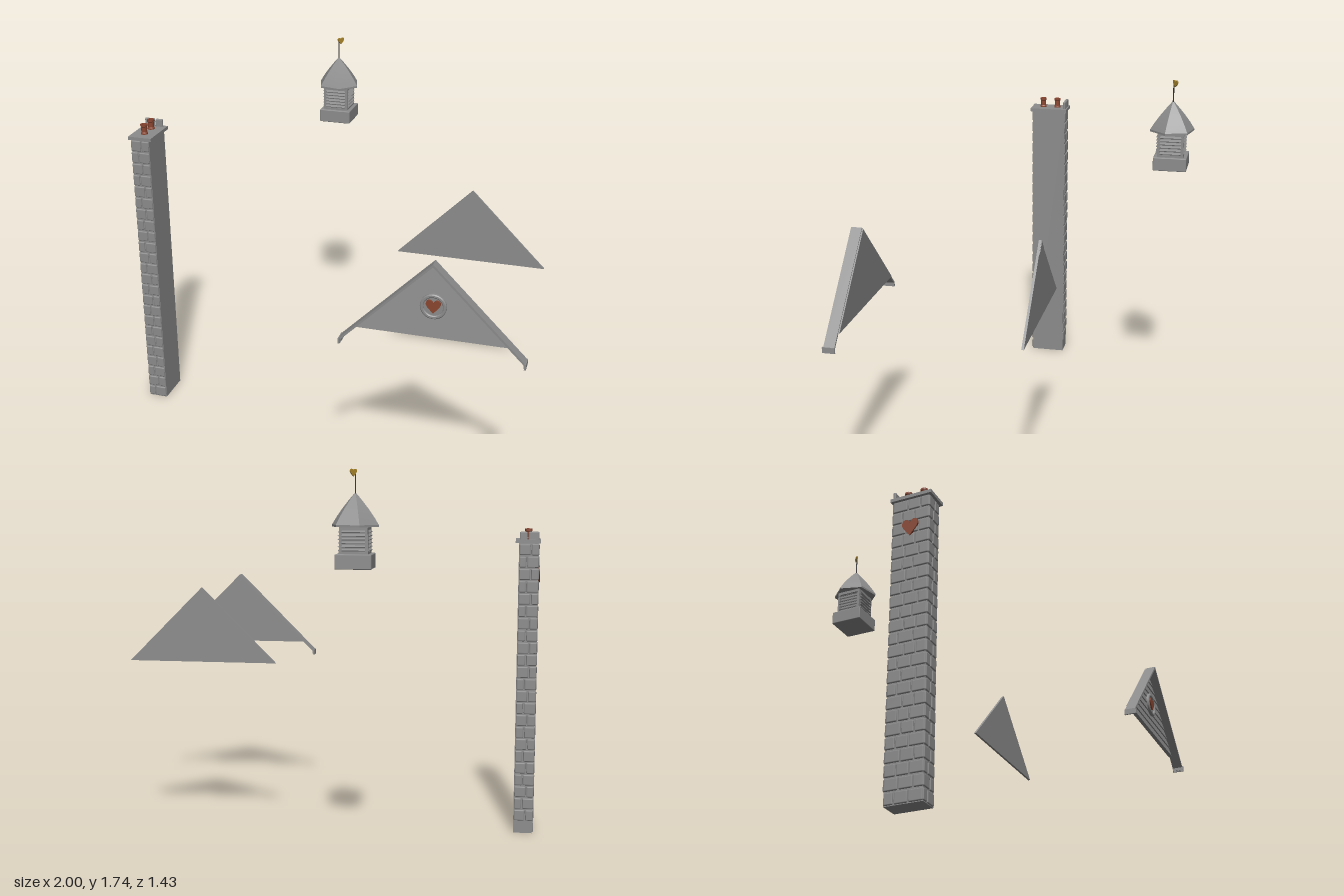
import * as THREE from 'three';
import { mergeGeometries, toCreasedNormals } from 'three/addons/utils/BufferGeometryUtils.js';
import { RoundedBoxGeometry } from 'three/addons/geometries/RoundedBoxGeometry.js';

export function createModel() {
  const model = new THREE.Group();
  model.name = 'houseRoofParts';
  const material = (name, color, side = THREE.FrontSide) => {
    const m = new THREE.MeshStandardMaterial({ color, side });
    m.name = name;
    return m;
  };
  const stone = material('greyStone', 0x8c8c8c, THREE.DoubleSide);
  const clay = material('redClay', 0x8a4630);
  const iron = material('darkIron', 0x2e2e2e);
  const gold = material('gold', 0xa8842a);

  const add = (parent, name, geometry, mat, x = 0, y = 0, z = 0) => {
    const mesh = new THREE.Mesh(geometry, mat);
    mesh.name = name;
    mesh.position.set(x, y, z);
    parent.add(mesh);
    return mesh;
  };
  const group = (name, x = 0, y = 0, z = 0) => {
    const g = new THREE.Group();
    g.name = name;
    g.position.set(x, y, z);
    model.add(g);
    return g;
  };
  const box = (w, h, d) => new THREE.BoxGeometry(w, h, d);
  let seed = 7;
  const random = () => (seed = (seed * 16807) % 2147483647) / 2147483647;

  const polygon = (points) => new THREE.Shape(points.map((p) => new THREE.Vector2(...p)));
  const extrude = (shape, depth) =>
    new THREE.ExtrudeGeometry(shape, { depth, bevelEnabled: false, curveSegments: 10 });
  // Heart centred on its own origin, facing +z
  const heart = (w, h, depth) => {
    const s = new THREE.Shape();
    s.moveTo(0, -h / 2);
    s.bezierCurveTo(w * 0.2, -h * 0.25, w * 0.5, 0, w * 0.5, h * 0.22);
    s.bezierCurveTo(w * 0.5, h * 0.6, w * 0.08, h * 0.6, 0, h * 0.25);
    s.bezierCurveTo(-w * 0.08, h * 0.6, -w * 0.5, h * 0.6, -w * 0.5, h * 0.22);
    s.bezierCurveTo(-w * 0.5, 0, -w * 0.2, -h * 0.25, 0, -h / 2);
    return extrude(s, depth).translate(0, 0, -depth / 2);
  };

  // Chimney: smooth core with stones on front, back and outer side
  const chimney = group('chimney', -0.945, 0, 0.12);
  add(chimney, 'chimneyCore', box(0.09, 1.4, 0.172), stone, 0.001, 0.7, 0);
  const rows = 24, rowHeight = 1.4 / rows;
  const stones = [];
  const layRow = (width, count, row, place) => {
    // joints shift from row to row
    const joints = [0];
    for (let i = 1; i < count; i++) {
      joints.push(width * (i / count + (row % 2 ? 0.09 : -0.09) * (2 / count) + (random() - 0.5) * 0.06));
    }
    joints.push(width);
    for (let i = 0; i < count; i++) {
      const w = joints[i + 1] - joints[i] - 0.005;
      const h = rowHeight - 0.005 - random() * 0.003;
      const g = new RoundedBoxGeometry(w, h, 0.014, 1, 0.005);
      g.translate((joints[i] + joints[i + 1] - width) / 2, (row + 0.5) * rowHeight, 0);
      stones.push(place(g));
    }
  };
  for (let r = 0; r < rows; r++) {
    layRow(0.096, 2, r, (g) => g.translate(-0.002, 0, 0.084));
    layRow(0.096, 2, r + 1, (g) => g.rotateY(Math.PI).translate(-0.002, 0, -0.084));
    layRow(0.176, 3, r, (g) => g.rotateY(-Math.PI / 2).translate(-0.043, 0, 0));
  }
  add(chimney, 'chimneyStones', mergeGeometries(stones), stone);
  add(chimney, 'chimneyCap', box(0.117, 0.016, 0.196), stone, 0.0035, 1.41, 0);
  add(chimney, 'chimneyHeart', heart(0.075, 0.08, 0.009), clay, -0.0505, 1.25, 0).rotation.y = -Math.PI / 2;
  const potProfile = [[0.017, 0], [0.017, 0.006], [0.014, 0.01], [0.014, 0.036], [0.017, 0.039],
    [0.017, 0.048], [0.011, 0.048], [0.011, 0.04], [0, 0.04]].map((p) => new THREE.Vector2(...p));
  for (const z of [-0.039, 0.037]) {
    add(chimney, 'chimneyPot', toCreasedNormals(new THREE.LatheGeometry(potProfile, 16), 0.6),
      clay, 0.002, 1.418, z);
  }

  // Cupola: plinth, louvred body, six-sided roof and weather vane
  const cupola = group('cupola', -0.21, 0, -0.612);
  add(cupola, 'cupolaBase', new RoundedBoxGeometry(0.158, 0.064, 0.158, 1, 0.004), stone, 0, 1.352, 0);
  add(cupola, 'cupolaBody', box(0.112, 0.13, 0.112), stone, 0, 1.445, 0);
  for (let side = 0; side < 4; side++) {
    const face = new THREE.Group();
    face.name = 'louvreFace';
    face.rotation.y = side * Math.PI / 2;
    cupola.add(face);
    for (const s of [-1, 1]) add(face, 'cornerPost', box(0.012, 0.12, 0.008), stone, s * 0.055, 1.44, 0.058);
    add(face, 'topRail', box(0.122, 0.014, 0.008), stone, 0, 1.493, 0.058);
    add(face, 'bottomRail', box(0.122, 0.01, 0.008), stone, 0, 1.388, 0.058);
    for (let i = 0; i < 6; i++) {
      add(face, 'slat', box(0.1, 0.004, 0.017), stone, 0, 1.402 + i * 0.0155, 0.06).rotation.x = 0.5;
    }
  }
  const roofProfile = [[0.06, 1.503], [0.106, 1.498], [0.106, 1.507], [0.085, 1.54], [0.06, 1.574],
    [0.03, 1.61], [0.005, 1.638], [0, 1.638]].map((p) => new THREE.Vector2(...p));
  add(cupola, 'cupolaRoof',
    toCreasedNormals(new THREE.LatheGeometry(roofProfile, 6, THREE.MathUtils.degToRad(17)), 0.5), stone);
  add(cupola, 'vaneRod', new THREE.CylinderGeometry(0.0028, 0.0028, 0.1, 8), iron, 0, 1.675, 0);
  add(cupola, 'vaneHeart', heart(0.034, 0.032, 0.006), gold, 0.008, 1.725, -0.008).rotation.y = Math.PI / 4;

  // Front gable: wall, overlapping boards, sloping trim and heart window
  const gable = group('frontGable', 0.592, 0, 0);
  const apex = 1.184, foot = 0.83;
  const wall = polygon([[-(apex - foot), foot], [apex - foot, foot], [0, apex]]);
  add(gable, 'gableWall', extrude(wall, 0.012), stone, 0, 0, 0.657);
  const boards = 10, boardHeight = (apex - foot) / boards;
  for (let i = 0; i < boards; i++) {
    const y0 = foot + i * boardHeight, y1 = y0 + boardHeight - 0.002;
    const g = extrude(polygon([[y0 - apex, y0], [apex - y0, y0], [apex - y1, y1], [y1 - apex, y1]]), 0.003);
    // lean each board out at its lower edge
    const p = g.attributes.position;
    for (let k = 0; k < p.count; k++) {
      if (p.getZ(k) > 0) p.setZ(k, 0.003 + (y1 - p.getY(k)) * 0.15);
    }
    g.computeVertexNormals();
    add(gable, 'gableBoard', g, stone, 0, 0, 0.668);
  }
  const half = [[0.406, 0.784], [0.406, 0.765], [0.397, 0.765], [0.397, 0.78]];
  const trim = polygon([[0, 1.19], ...half, [0, 1.177],
    ...half.map(([x, y]) => [-x, y]).reverse()]);
  add(gable, 'slopingTrim', extrude(trim, 0.05), stone, 0, 0, 0.663);
  for (const s of [-1, 1]) add(gable, 'trimEnd', box(0.008, 0.026, 0.056), stone, s * 0.404, 0.773, 0.69);

  // Round window with raised rings
  const ringProfile = [[0.042, 0], [0.042, 0.014], [0.046, 0.018], [0.054, 0.018], [0.058, 0.014], [0.058, 0]]
    .map((p) => new THREE.Vector2(...p)).reverse();
  const ring = toCreasedNormals(new THREE.LatheGeometry(ringProfile, 32), 0.6).rotateX(Math.PI / 2);
  add(gable, 'windowRing', ring, stone, 0, 0.98, 0.668);
  add(gable, 'windowPane', new THREE.CylinderGeometry(0.043, 0.043, 0.008, 32).rotateX(Math.PI / 2),
    stone, 0, 0.98, 0.674);
  add(gable, 'windowHeart', heart(0.064, 0.06, 0.008), clay, 0, 0.98, 0.682);

  // Back gable: plain wall with short boards at the peak
  const backGable = group('backGable', 0.592, 0, 0);
  const backWall = polygon([[-0.358, 0.83], [0.358, 0.83], [0, 1.188]]);
  add(backGable, 'backWall', extrude(backWall, 0.011), stone, 0, 0, -0.145);
  const peak = polygon([[-0.045, 1.14], [0.045, 1.14], [0, 1.185]]);
  add(backGable, 'peakBoard', extrude(peak, 0.003), stone, 0, 0, -0.148);

  return model;
}
